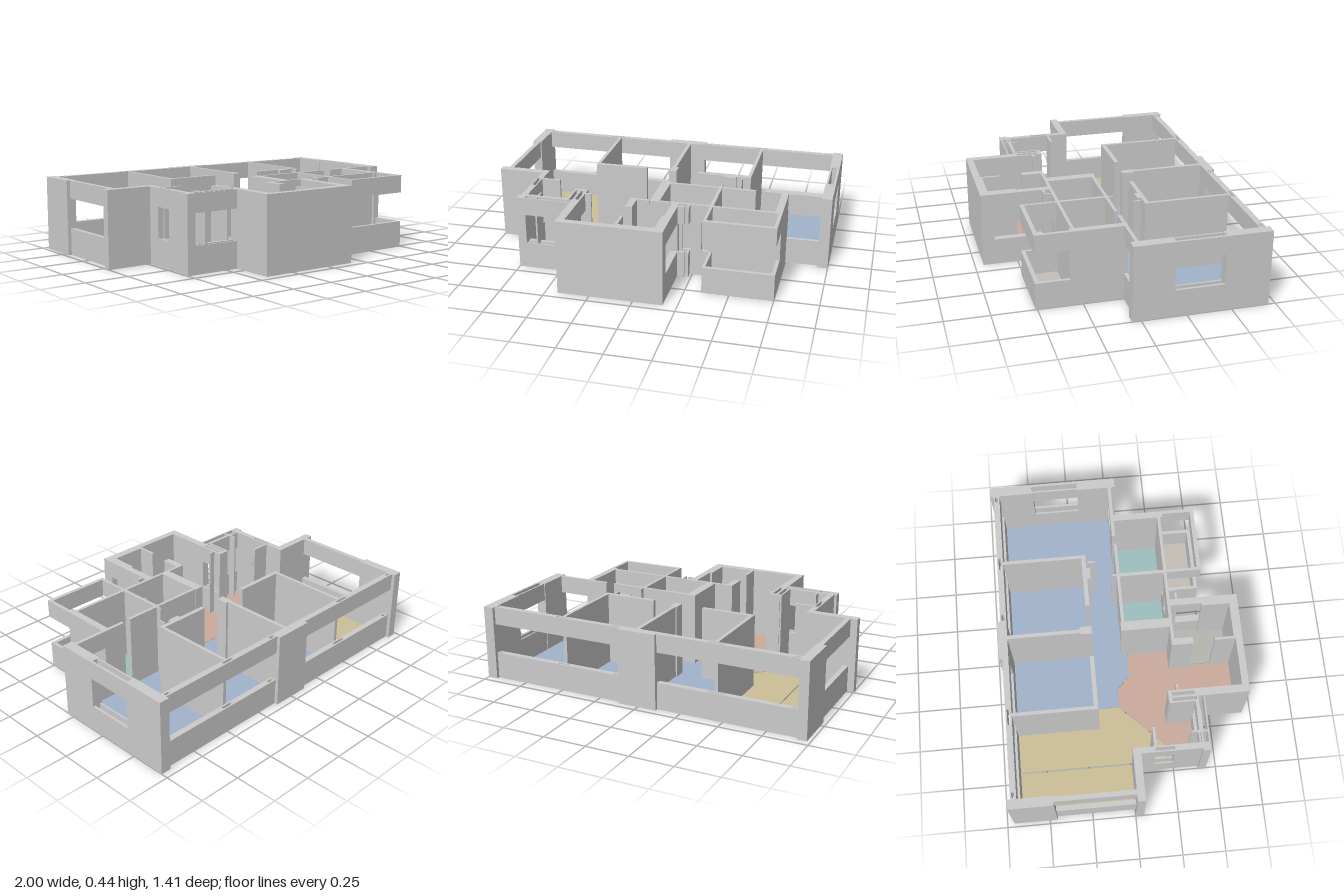
import * as THREE from 'three';

const H = 0.435, SILL = 0.155, HEAD = 0.33;
const wallMat = new THREE.MeshStandardMaterial({ color: 0xcccccc });

// Extrude a plan outline of [x, z] points upward from y0 to y1
function slab(points, y0, y1, material, holes = []) {
  const shape = new THREE.Shape(points.map(([x, z]) => new THREE.Vector2(x, -z)));
  shape.holes.push(...holes);
  const geo = new THREE.ExtrudeGeometry(shape, { depth: y1 - y0, bevelEnabled: false, curveSegments: 6 });
  geo.rotateX(-Math.PI / 2);
  geo.translate(0, y0, 0);
  return new THREE.Mesh(geo, material);
}

const rect = (x0, x1, z0, z1) => [[x0, z0], [x0, z1], [x1, z1], [x1, z0]];

// Narrow round-ended slot running along x
function slot(x0, x1, z, r) {
  const p = new THREE.Path();
  p.absarc(x1 - r, -z, r, -Math.PI / 2, Math.PI / 2, false);
  p.absarc(x0 + r, -z, r, Math.PI / 2, Math.PI * 1.5, false);
  p.closePath();
  return p;
}

export function createModel() {
  const model = new THREE.Group();

  function box(parent, x0, x1, z0, z1, y0, y1) {
    const m = new THREE.Mesh(new THREE.BoxGeometry(x1 - x0, y1 - y0, z1 - z0), wallMat);
    m.position.set((x0 + x1) / 2, (y0 + y1) / 2, (z0 + z1) / 2);
    parent.add(m);
    return m;
  }
  function group(name) {
    const g = new THREE.Group();
    g.name = name;
    model.add(g);
    return g;
  }

  // Full-height outer walls and pillars: x0, x1, z0, z1
  const outer = group('outerWalls');
  [
    [-0.98, -0.925, -0.71, -0.455],
    [-1, -0.70, 0.005, 0.05],
    [-0.735, -0.70, 0.05, 0.13],
    [-0.735, -0.70, 0.24, 0.395],
    [-0.75, -0.70, 0.395, 0.44],
    [-0.11, 0.12, -0.71, -0.655],
    [0.94, 1, -0.71, -0.455],
    [0.94, 1, -0.18, 0.05],
    [0.71, 0.75, 0.01, 0.32],
    [-0.43, -0.385, 0.385, 0.66],
    [-0.43, 0.17, 0.66, 0.70],
    [0.13, 0.17, 0.63, 0.66],
    [0.13, 0.17, 0.305, 0.345],
  ].forEach(w => box(outer, ...w, 0, H).name = 'outerWall');

  // Full-height partitions
  const inner = group('partitions');
  [
    [-0.457, -0.437, -0.655, -0.165],
    [-0.437, -0.14, -0.19, -0.165],
    [0.008, 0.03, -0.655, -0.165],
    [0.0, 0.045, -0.235, -0.165],
    [0.48, 0.50, -0.655, -0.165],
    [0.175, 0.48, -0.19, -0.165],
    [0.345, 0.415, -0.165, -0.145],
    [0.445, 0.455, -0.155, -0.11],
    [0.35, 0.36, -0.02, 0.01],
    [0.0, 0.055, 0.005, 0.305],
    [0.055, 0.35, 0.01, 0.028],
    [0.35, 0.56, 0.01, 0.028],
    [0.61, 0.75, 0.005, 0.025],
    [0.343, 0.363, 0.028, 0.29],
    [0.055, 0.19, 0.288, 0.306],
    [0.24, 0.30, 0.288, 0.306],
    [0.34, 0.71, 0.288, 0.306],
    [-0.115, 0.0, 0.288, 0.306],
    [-0.115, -0.075, 0.306, 0.415],
    [-0.105, -0.09, 0.54, 0.66],
    [-0.09, 0.13, 0.65, 0.66],
    [0.115, 0.13, 0.49, 0.65],
    [-0.70, -0.59, 0.125, 0.14],
    [-0.46, -0.45, 0.24, 0.39],
    [-0.45, -0.385, 0.235, 0.255],
    [-0.385, -0.35, 0.285, 0.297],
    [-0.64, -0.63, 0.34, 0.44],
    [-0.70, -0.64, 0.38, 0.39],
    [-0.63, -0.45, 0.385, 0.395],
  ].forEach((w, i) => {
    // The last two sit under the front window opening
    box(inner, ...w, 0, i > 26 ? SILL : H).name = 'partition';
    if (i > 26) box(inner, ...w, HEAD, H).name = 'partitionHead';
  });

  // Window walls: a sill below and a lintel above the opening
  const windows = group('windowWalls');
  [
    [-0.96, -0.932, -0.455, 0.005],
    [-0.735, -0.727, 0.13, 0.24],
    [-0.708, -0.70, 0.13, 0.24],
    [-0.70, -0.43, 0.395, 0.405],
    [-0.70, -0.43, 0.432, 0.44],
    [-0.43, -0.418, 0.255, 0.385],
    [-0.397, -0.385, 0.255, 0.385],
    [0.945, 0.955, -0.455, -0.18],
    [0.985, 1, -0.455, -0.18],
    [0.75, 0.94, 0.005, 0.025],
    [0.13, 0.17, 0.345, 0.63],
    [0.17, 0.21, 0.335, 0.35],
    [0.225, 0.235, 0.306, 0.35],
    [0.17, 0.345, 0.288, 0.306],
  ].forEach(w => {
    box(windows, ...w, 0, SILL).name = 'sillWall';
    box(windows, ...w, HEAD, H).name = 'lintel';
  });

  // Long back windows, slotted through sill and lintel
  const back = group('backWindowWalls');
  [
    [-0.925, -0.11, [[-0.92, -0.885], [-0.505, -0.41]]],
    [0.12, 0.94, [[0.125, 0.165], [0.45, 0.525], [0.9, 0.935]]],
  ].forEach(([x0, x1, slots]) => [[0, SILL], [HEAD, H]].forEach(([y0, y1]) => {
    const m = slab(rect(x0, x1, -0.69, -0.655), y0, y1, wallMat,
      slots.map(([a, b]) => slot(a, b, -0.673, 0.008)));
    m.name = 'backBand';
    back.add(m);
  }));

  // Balcony parapet and head ring, open at the corners
  const balcony = group('balcony');
  const ring = [[0.345, 0.306], [0.345, 0.51], [0.75, 0.51], [0.75, 0.32], [0.73, 0.32],
    [0.73, 0.487], [0.362, 0.487], [0.362, 0.306]];
  [[0, SILL], [HEAD, H]].forEach(([y0, y1]) => {
    const m = slab(ring, y0, y1, wallMat);
    m.name = 'balconyBand';
    balcony.add(m);
  });

  // Room floors
  const floors = group('floors');
  [
    ['bedroomFloor', 0xa2b3cc, [[-0.437, -0.655], [0.94, -0.655], [0.94, 0.008], [0.06, 0.008],
      [0.0, 0.04], [-0.14, 0.04], [-0.22, -0.04], [-0.33, -0.04], [-0.33, -0.165], [-0.437, -0.165]]],
    ['loggiaFloor', 0xcdbf98, rect(-0.94, -0.695, -0.655, 0.005)],
    ['livingFloor', 0xcdbf98, [[-0.685, -0.655], [-0.457, -0.655], [-0.457, -0.165], [-0.334, -0.165],
      [-0.334, -0.042], [-0.589, 0.217], [-0.70, 0.217], [-0.70, 0.008], [-0.685, 0.008]]],
    ['hallFloor', 0xccab9d, [[-0.33, -0.036], [-0.222, -0.036], [-0.142, 0.044], [0, 0.044], [0, 0.29],
      [-0.1, 0.29], [-0.1, 0.66], [-0.385, 0.66], [-0.385, 0.385], [-0.70, 0.385], [-0.70, 0.222], [-0.587, 0.222]]],
    ['bathFloor', 0x9cc0be, rect(0.055, 0.343, 0.028, 0.288)],
    ['bathFloor', 0x9cc0be, rect(0.363, 0.71, 0.028, 0.288)],
    ['storeFloor', 0xb4b6b0, rect(-0.095, 0.13, 0.306, 0.655)],
    ['balconyFloor', 0xc5beb6, rect(0.362, 0.73, 0.306, 0.487)],
  ].forEach(([name, color, pts]) => {
    const m = slab(pts, 0, 0.006, new THREE.MeshStandardMaterial({ color }));
    m.name = name;
    floors.add(m);
  });

  return model;
}
